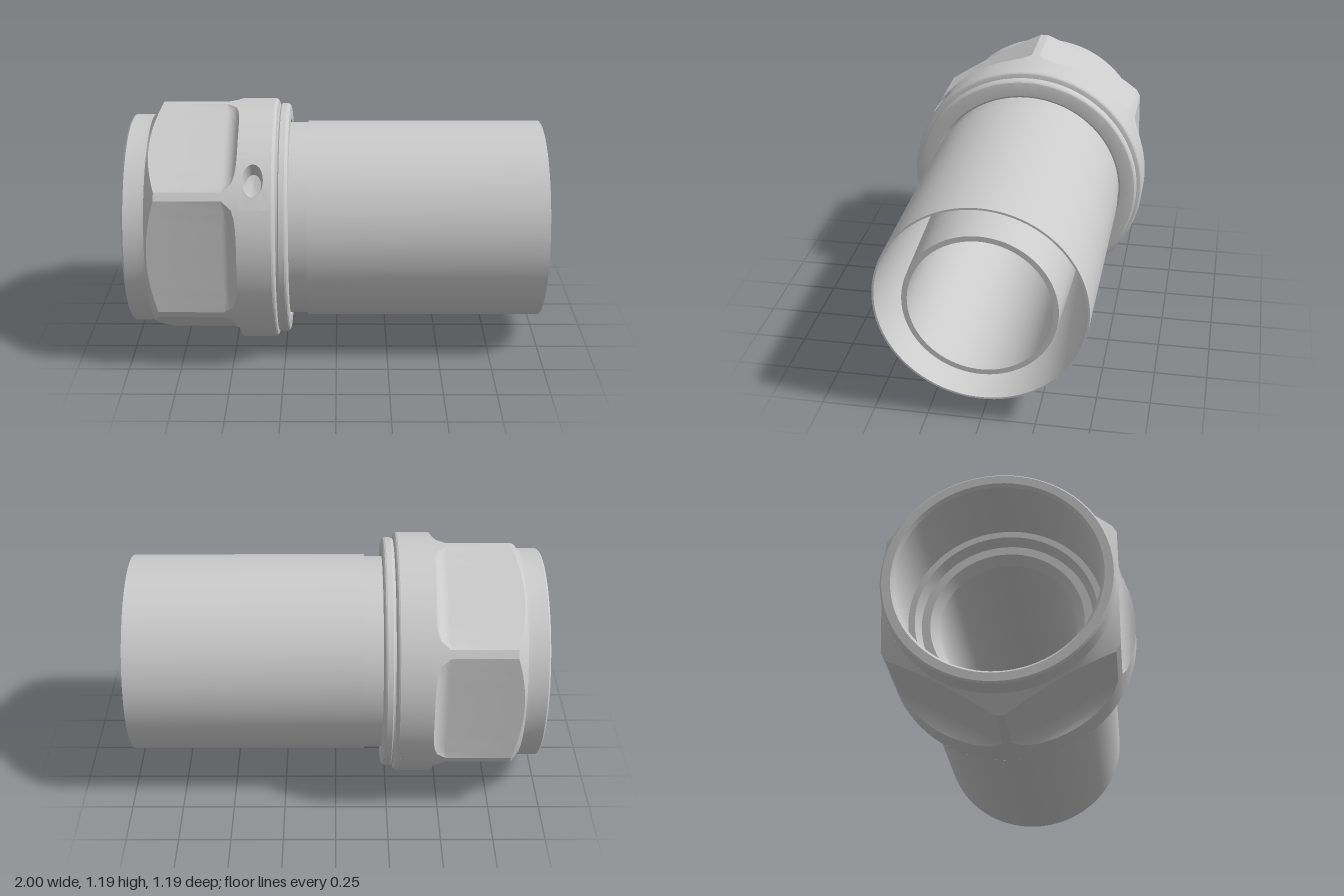
import * as THREE from 'three';
import { toCreasedNormals } from 'three/addons/utils/BufferGeometryUtils.js';

const RAD = Math.PI / 180;
const AXIS_Y = 0.595;   // height of the common axis, which runs along x
const R = 0.595;        // collar and hexagon corner radius
const FLAT = 0.525;     // distance from the axis to a wrench flat
const FILLET = 0.07;    // cutter radius where a flat runs out into the collar
const CREASE = 0.35;

const material = new THREE.MeshStandardMaterial({ color: 0xcccccc, side: THREE.DoubleSide });

function addMesh(group, name, geometry) {
  const mesh = new THREE.Mesh(toCreasedNormals(geometry, CREASE), material);
  mesh.name = name;
  group.add(mesh);
}

// Turned part: profile of [x, radius] pairs spun around the x axis
function turned(profile) {
  const points = profile.map(([x, r]) => new THREE.Vector2(r, x));
  return new THREE.LatheGeometry(points, 96).rotateZ(-Math.PI / 2);
}

// Skin from columns of [x, radius, angle], closed around; skip(i, j) leaves cells open
function skin(columns, skip = () => false) {
  const rows = columns[0].length, n = columns.length, positions = [], index = [];
  for (const column of columns)
    for (const [x, r, a] of column) positions.push(x, r * Math.sin(a), r * Math.cos(a));
  for (let j = 0; j < n; j++) {
    for (let i = 0; i < rows - 1; i++) {
      if (skip(i, j)) continue;
      const a = j * rows + i, b = ((j + 1) % n) * rows + i;
      index.push(a, a + 1, b, b, a + 1, b + 1);
    }
  }
  const geometry = new THREE.BufferGeometry();
  geometry.setAttribute('position', new THREE.Float32BufferAttribute(positions, 3));
  geometry.setIndex(index);
  return geometry;
}

// Area of the collar that is left open for the oval hole
const WINDOW = { x0: -0.45, x1: -0.31, a0: 24, a1: 48 };

// Hexagon with chamfered front corners, filleted into the round collar
function hexagonBody() {
  const corner = Math.acos(FLAT / R) / RAD;
  const offsets = [-30, -corner];
  for (let a = -24; a <= 24; a += 4) offsets.push(a);
  offsets.push(corner);

  const columns = [], degrees = [];
  for (let side = 0; side < 6; side++) {
    for (const offset of offsets) {
      const c = Math.cos(offset * RAD), angle = (side * 60 + offset) * RAD;
      const r = Math.min(FLAT / c, R);
      const chamferX = -0.885 + (r - FLAT) * 0.045 / 0.07;
      const column = [[-0.895, 0.517, angle], [chamferX, r, angle], [-0.53, r, angle]];
      const rise = Math.max(0, R * c - FLAT);
      const sweep = Math.acos(1 - rise / FILLET);
      for (let k = 1; k <= 8; k++) {
        const t = sweep * k / 8;
        const d = FLAT + FILLET * (1 - Math.cos(t));
        column.push([-0.53 + FILLET * Math.sin(t), Math.min(d / c, R), angle]);
      }
      column.push([WINDOW.x0, R, angle], [WINDOW.x1, R, angle]);
      columns.push(column);
      degrees.push(side * 60 + offset);
    }
  }
  const last = columns[0].length - 2;
  return skin(columns, (i, j) =>
    i === last && degrees[j] > WINDOW.a0 - 0.1 && degrees[j] < WINDOW.a1 - 0.1);
}

// Collar patch with a sunk oval hole, from the hole floor out to the window edge
function ovalHole() {
  const columns = [], n = 48;
  const midX = (WINDOW.x0 + WINDOW.x1) / 2, midA = (WINDOW.a0 + WINDOW.a1) / 2;
  const halfX = (WINDOW.x1 - WINDOW.x0) / 2, halfA = (WINDOW.a1 - WINDOW.a0) / 2;
  for (let k = 0; k < n; k++) {
    const c = Math.cos(k / n * Math.PI * 2), s = Math.sin(k / n * Math.PI * 2);
    const m = Math.max(Math.abs(c), Math.abs(s));
    const oval = (scale, r) => [-0.385 + 0.048 * scale * c, r, (37.5 + 7.7 * scale * s) * RAD];
    columns.push([
      oval(0, 0.51), oval(0.75, 0.52), oval(1, R),
      [midX + halfX * c / m, R, (midA + halfA * s / m) * RAD],
    ]);
  }
  return skin(columns);
}

export function createModel() {
  const model = new THREE.Group();
  model.name = 'pipeFitting';

  // Union nut
  const nut = new THREE.Group();
  nut.name = 'unionNut';
  addMesh(nut, 'hexagonBody', hexagonBody());
  addMesh(nut, 'collarHole', ovalHole());
  addMesh(nut, 'nutBoreAndRim', turned([
    [-0.5, 0.455], [-0.985, 0.455], [-1, 0.468], [-1, 0.507],
    [-0.992, 0.515], [-0.91, 0.515], [-0.895, 0.517],
  ]));
  addMesh(nut, 'collarLip', turned([
    [-0.31, R], [-0.3, R], [-0.292, 0.592], [-0.286, 0.586], [-0.283, 0.577],
    [-0.281, 0.565], [-0.273, 0.566], [-0.268, 0.57], [-0.242, 0.57], [-0.234, 0.567],
    [-0.228, 0.561], [-0.225, 0.552], [-0.225, 0.49], [-0.235, 0.48], [-0.5, 0.48],
  ]));
  model.add(nut);

  // Outer sleeve with a slim neck and a deep, slightly drafted socket
  addMesh(model, 'outerSleeve', turned([
    [-0.5, 0.475], [-0.14, 0.475], [-0.14, 0.485], [1, 0.485], [1, 0.476], [0, 0.43], [0, 0.375],
  ]));

  // Inner tube with its conical sealing seat inside the nut
  addMesh(model, 'innerTube', turned([
    [0, 0.38], [1, 0.35], [1, 0.325], [-0.5, 0.325], [-0.55, 0.36],
    [-0.55, 0.4], [-0.6, 0.425], [-0.6, 0.457],
  ]));

  model.position.y = AXIS_Y;
  const root = new THREE.Group();
  root.add(model);
  return root;
}
